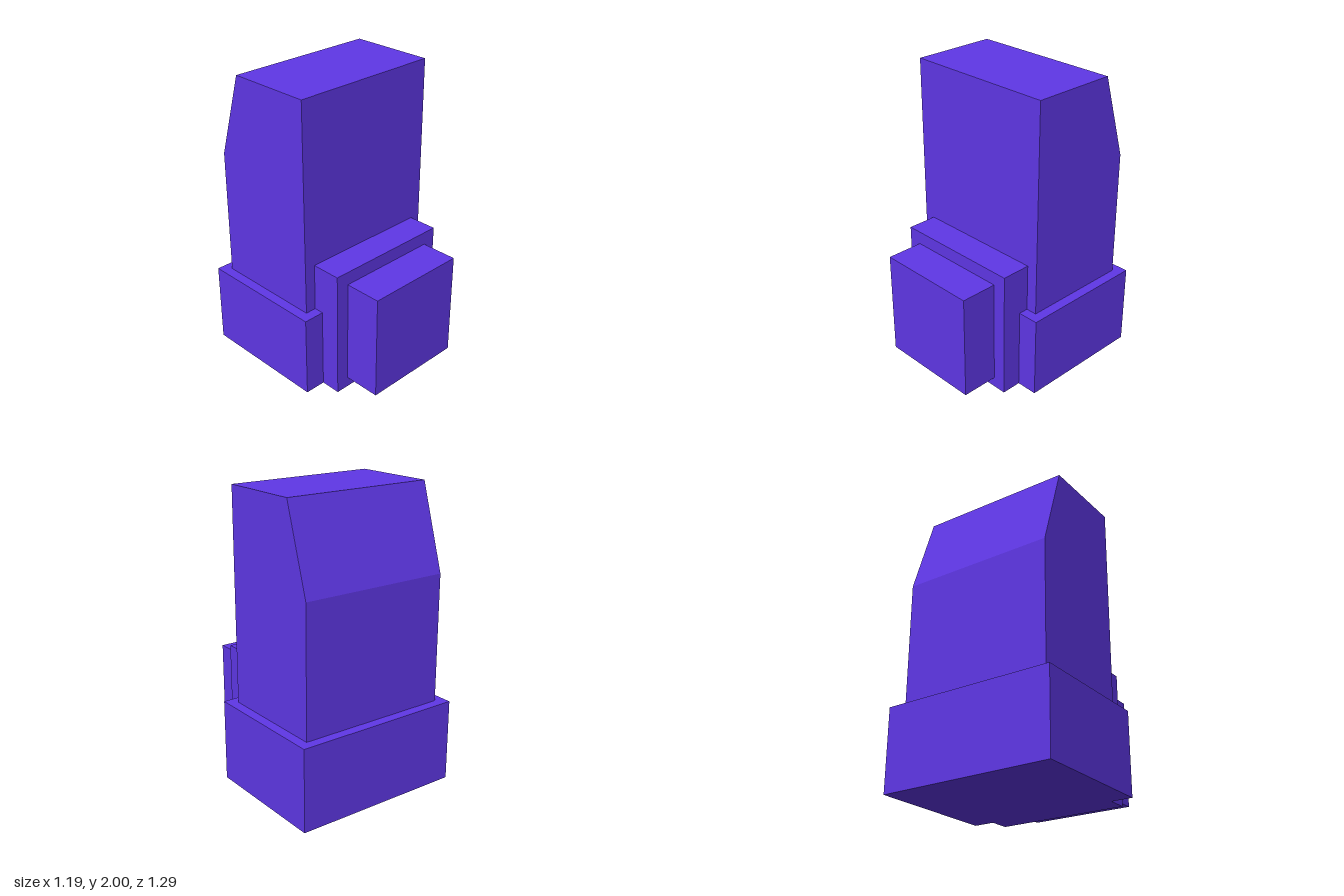
import * as THREE from 'three';

export function createModel() {
  const group = new THREE.Group();
  const violet = new THREE.MeshStandardMaterial({ color: 0x5f37e6 });
  violet.name = 'violet';

  function add(name, geometry) {
    const mesh = new THREE.Mesh(geometry, violet);
    mesh.name = name;
    group.add(mesh);
  }

  // Box centred on x, given by its half width and its y and z ranges
  function block(name, halfWidth, y0, y1, z0, z1) {
    const geometry = new THREE.BoxGeometry(2 * halfWidth, y1 - y0, z1 - z0);
    geometry.translate(0, (y0 + y1) / 2, (z0 + z1) / 2);
    add(name, geometry);
  }

  // Wide base and the two stepped blocks at the front
  block('base', 0.595, 0, 0.56, -0.645, 0.252);
  block('frontStep', 0.451, 0, 0.883, 0.1, 0.39);
  block('frontBlock', 0.36, 0.07, 0.793, 0.38, 0.645);

  // Tower: side profile (z, y) with a sloped upper back, extruded across x
  const profile = new THREE.Shape([
    [0.185, 0.5], [0.185, 2], [-0.4, 2], [-0.577, 1.43], [-0.577, 0.5],
  ].map(([z, y]) => new THREE.Vector2(z, y)));
  const width = 1.054;
  const tower = new THREE.ExtrudeGeometry(profile, { depth: width, bevelEnabled: false });
  tower.translate(0, 0, -width / 2).rotateY(-Math.PI / 2);
  add('tower', tower);

  return group;
}
